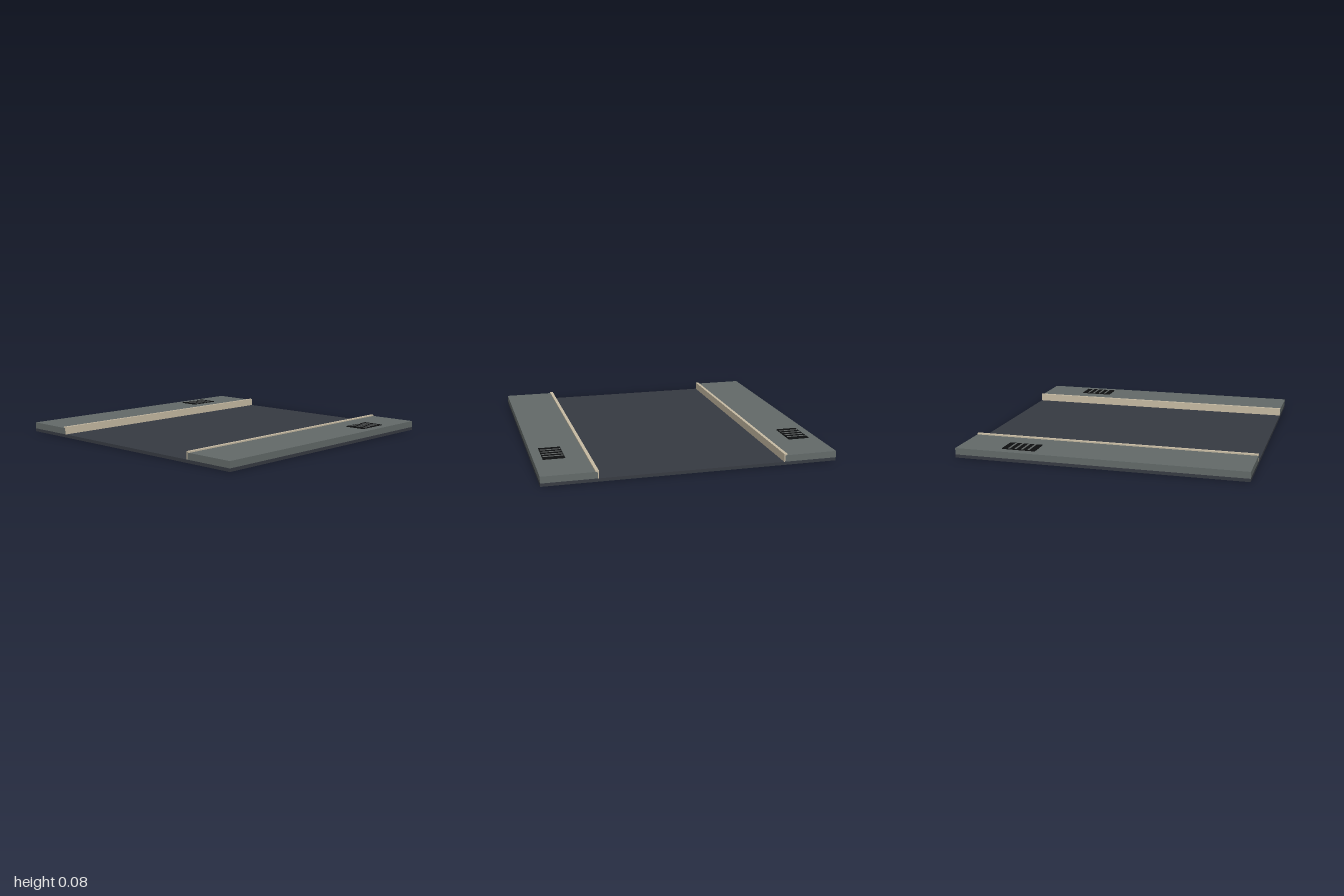
import * as THREE from 'three';

const material = (name, color) => {
  const m = new THREE.MeshStandardMaterial({ color });
  m.name = name;
  return m;
};

export function createModel() {
  const asphalt = material('asphalt', 0x363a42);
  const paving = material('paving', 0x636a69);
  const stone = material('curb stone', 0xc8bca4);
  const iron = material('drain iron', 0x0e0f10);
  const bar = material('drain bar', 0x606463);

  const root = new THREE.Group();
  root.name = 'roadSection';

  // Box given by its minimum and maximum corners
  const box = (parent, name, mat, [x0, y0, z0], [x1, y1, z1]) => {
    const mesh = new THREE.Mesh(new THREE.BoxGeometry(x1 - x0, y1 - y0, z1 - z0), mat);
    mesh.position.set((x0 + x1) / 2, (y0 + y1) / 2, (z0 + z1) / 2);
    mesh.name = name;
    parent.add(mesh);
  };

  // Road slab
  box(root, 'road', asphalt, [-1, 0, -1], [1, 0.022, 1]);

  for (const side of [-1, 1]) {
    const group = new THREE.Group();
    group.name = side > 0 ? 'leftPavement' : 'rightPavement';
    root.add(group);
    const part = (name, mat, [x0, y0, z0], [x1, y1, z1]) => side > 0
      ? box(group, name, mat, [x0, y0, z0], [x1, y1, z1])
      : box(group, name, mat, [-x1, y0, z0], [-x0, y1, z1]);

    // Raised walkway
    part('walkway', paving, [0.634, 0.022, -1], [1, 0.067, 1]);

    // Curb facing and the lip lapping over the walkway
    part('curbFace', stone, [0.627, 0.022, -1], [0.634, 0.067, 1]);
    part('curbLip', stone, [0.627, 0.067, -1], [0.649, 0.076, 1]);

    // Drain plate with four cross bars
    part('drainPlate', iron, [0.79, 0.066, -0.687], [0.938, 0.072, -0.452]);
    for (let i = 0; i < 4; i++) {
      const z = -0.638 + i * 0.0463;
      part('drainBar', bar, [0.795, 0.071, z - 0.007], [0.933, 0.0735, z + 0.007]);
    }
  }
  return root;
}
